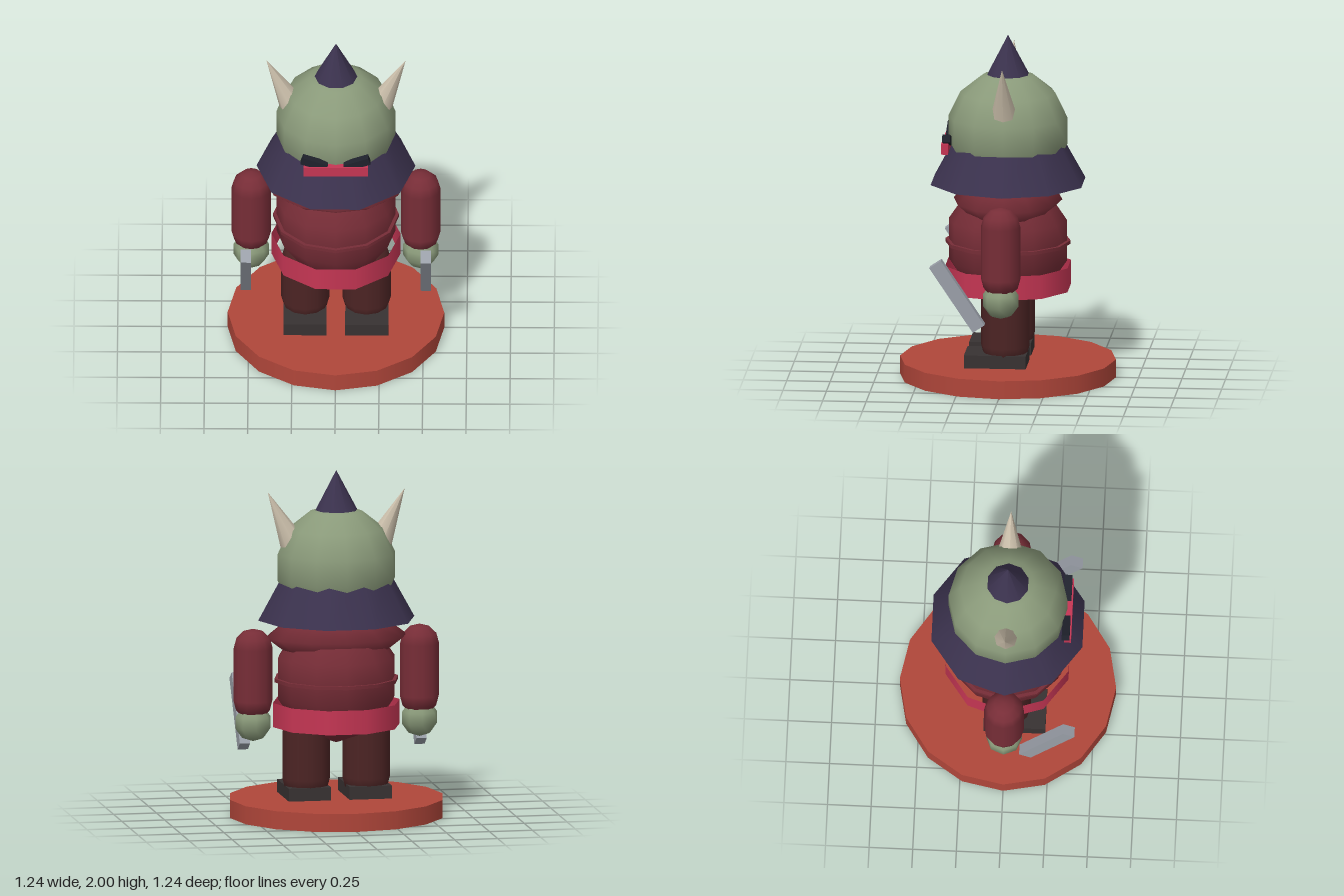
import * as THREE from 'three';

const mat = (name, color, side = THREE.FrontSide) => {
  const m = new THREE.MeshStandardMaterial({ color, side });
  m.name = name;
  return m;
};

export function createModel() {
  const model = new THREE.Group();
  model.name = 'hornedWarrior';

  const clay = mat('clay red', 0xb0463a);
  const skin = mat('green skin', 0x8a9a7a);
  const armour = mat('dark red armour', 0x772d37);
  const cloth = mat('brown trousers', 0x4c2424);
  const leather = mat('dark leather', 0x383232);
  const sash = mat('crimson', 0xc63654, THREE.DoubleSide);
  const helmet = mat('dark violet', 0x3b324e);
  const bone = mat('bone', 0xc9bda9);
  const steel = mat('steel', 0x9a9fa8);
  const ink = mat('near black', 0x1f222c);

  const add = (name, geometry, material, x, y, z) => {
    const mesh = new THREE.Mesh(geometry, material);
    mesh.name = name;
    mesh.position.set(x, y, z);
    model.add(mesh);
    return mesh;
  };
  // Frustum with a corner on the x axis
  const drum = (top, bottom, height, sides, open = false) =>
    new THREE.CylinderGeometry(top, bottom, height, sides, 1, open).rotateY(Math.PI / 2);

  // Stand
  add('base', drum(0.62, 0.62, 0.105, 16), clay, 0, 0.0525, 0);

  // Torso
  add('torso', new THREE.SphereGeometry(0.358, 12, 5).scale(1, 1.06, 1), armour, 0, 0.8, 0);
  add('chestBand', drum(0.36, 0.36, 0.02, 12), armour, 0, 0.79, 0);
  add('belt', drum(0.37, 0.37, 0.14, 10, true), sash, 0, 0.59, 0);
  add('shoulders', new THREE.SphereGeometry(1, 12, 4).scale(0.41, 0.13, 0.312), armour, 0, 1.04, 0);

  // Head and helmet
  add('head', new THREE.SphereGeometry(0.35, 12, 7), skin, 0, 1.445, 0);
  add('neckGuard', drum(0.3, 0.455, 0.28, 10), helmet, 0, 1.28, 0);
  add('helmetSpike', drum(0, 0.122, 0.23, 10), helmet, 0, 1.885, 0);
  add('eyeBand', new THREE.BoxGeometry(0.37, 0.06, 0.04), sash, 0, 1.36, 0.35);

  // Mirrored parts
  for (const [side, s] of [['left', 1], ['right', -1]]) {
    const horn = add(side + 'Horn', drum(0, 0.078, 0.345, 8), bone, s * 0.324, 1.728, 0);
    horn.rotation.z = -s * 0.45;

    const brow = add(side + 'Brow', new THREE.BoxGeometry(0.15, 0.045, 0.045), ink, s * 0.122, 1.403, 0.339);
    brow.rotation.z = s * 0.34;

    add(side + 'Arm', new THREE.CapsuleGeometry(0.114, 0.3, 3, 12), armour, s * 0.485, 0.83, 0);
    add(side + 'Hand', new THREE.SphereGeometry(0.108, 8, 5), skin, s * 0.485, 0.55, 0);

    const blade = add(side + 'Blade', new THREE.BoxGeometry(0.06, 0.45, 0.08), steel, s * 0.515, 0.579, 0.247);
    blade.rotation.x = 0.59;

    add(side + 'Leg', new THREE.CapsuleGeometry(0.139, 0.27, 3, 12), cloth, s * 0.175, 0.355, 0);
    add(side + 'Boot', new THREE.BoxGeometry(0.247, 0.08, 0.355), leather, s * 0.177, 0.14, 0.05);
  }
  return model;
}
